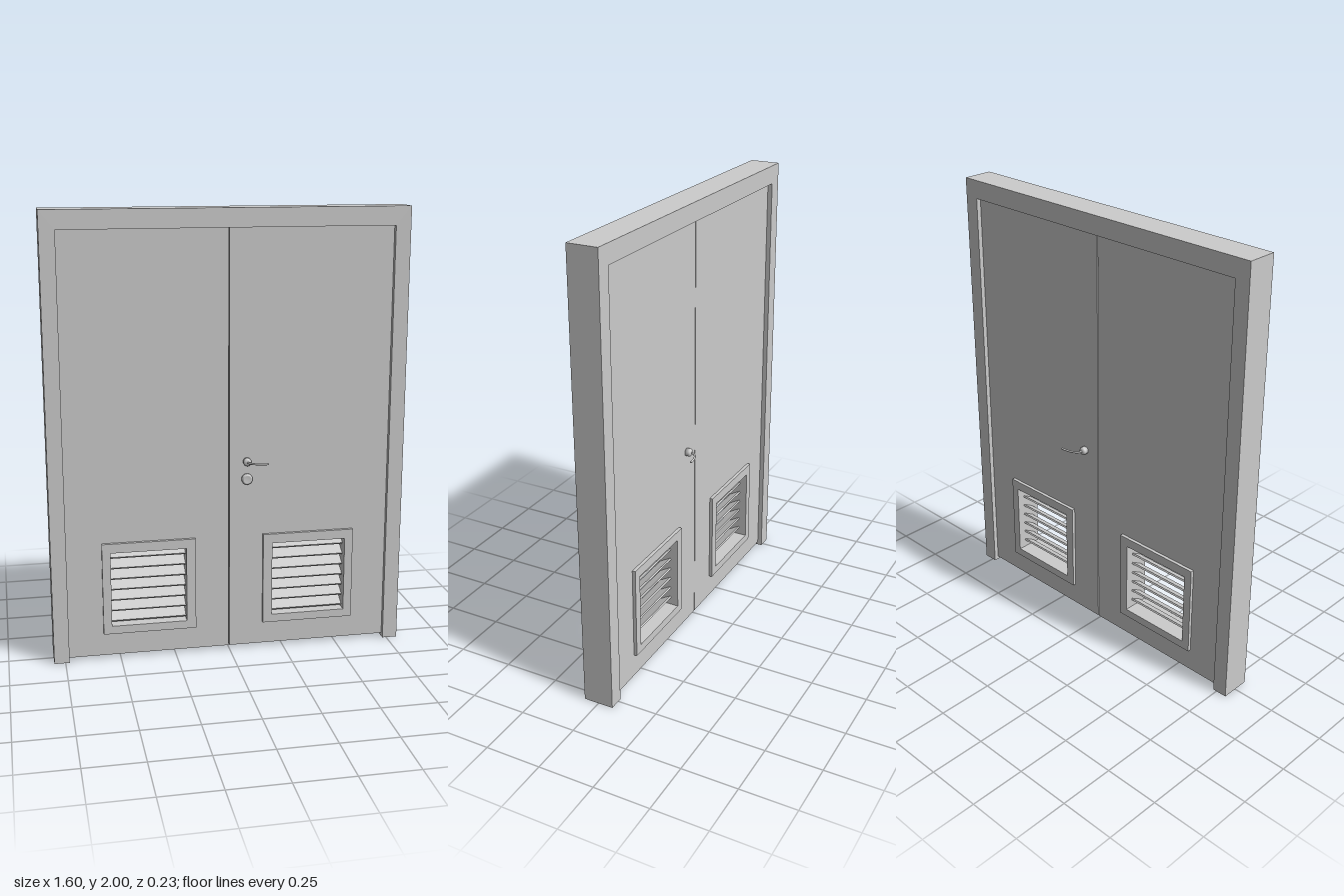
import * as THREE from 'three';

const material = new THREE.MeshStandardMaterial({ color: 0xcccccc });

function add(parent, name, geometry, x = 0, y = 0, z = 0) {
  const mesh = new THREE.Mesh(geometry, material);
  mesh.name = name;
  mesh.position.set(x, y, z);
  parent.add(mesh);
  return mesh;
}

function outline(Type, x0, y0, x1, y1) {
  return new Type([[x0, y0], [x1, y0], [x1, y1], [x0, y1]].map(p => new THREE.Vector2(...p)));
}

// Plate with a rectangular opening, centred on z = 0
function plate(outer, hole, depth) {
  const shape = outline(THREE.Shape, ...outer);
  shape.holes.push(outline(THREE.Path, ...hole));
  return new THREE.ExtrudeGeometry(shape, { depth, bevelEnabled: false }).translate(0, 0, -depth / 2);
}

// One door leaf with its ventilation grille; side is +1 or -1
function doorLeaf(side) {
  const leaf = new THREE.Group();
  leaf.name = side > 0 ? 'leftDoor' : 'rightDoor';
  const span = (a, b) => [Math.min(side * a, side * b), Math.max(side * a, side * b)];
  const rect = (a, y0, b, y1) => { const [l, r] = span(a, b); return [l, y0, r, y1]; };
  const opening = rect(0.197, 0.157, 0.537, 0.502);
  add(leaf, 'doorPanel', plate(rect(0.002, 0.015, 0.732, 1.917), opening, 0.094));
  add(leaf, 'ventFrame', plate(rect(0.155, 0.12, 0.575, 0.545), opening, 0.124));
  // Slats slope down towards the front
  for (let i = 0; i < 7; i++) {
    const slat = add(leaf, 'ventSlat', new THREE.BoxGeometry(0.34, 0.008, 0.06),
      side * 0.367, 0.182 + i * 0.05, 0);
    slat.rotation.x = Math.PI / 6;
  }
  return leaf;
}

// Rose and curved lever, facing +z
function leverHandle(name) {
  const handle = new THREE.Group();
  handle.name = name;
  const profile = [[0, 0], [0.018, 0], [0.018, 0.017], [0.015, 0.022], [0.009, 0.025], [0, 0.026]];
  add(handle, 'handleRose',
    new THREE.LatheGeometry(profile.map(p => new THREE.Vector2(...p)), 24).rotateX(Math.PI / 2));
  const curve = new THREE.CubicBezierCurve3(
    new THREE.Vector3(0, 0, 0.018), new THREE.Vector3(0, 0, 0.046),
    new THREE.Vector3(0.03, 0, 0.064), new THREE.Vector3(0.083, 0, 0.064));
  add(handle, 'lever', new THREE.TubeGeometry(curve, 20, 0.0045, 10));
  add(handle, 'leverTip', new THREE.SphereGeometry(0.0045, 10, 8), 0.083, 0, 0.064);
  return handle;
}

export function createModel() {
  const model = new THREE.Group();
  model.name = 'doubleDoor';

  // Door frame, open at the floor
  const frameShape = new THREE.Shape([
    [-0.8, 0], [-0.732, 0], [-0.732, 1.917], [0.732, 1.917],
    [0.732, 0], [0.8, 0], [0.8, 2], [-0.8, 2],
  ].map(p => new THREE.Vector2(...p)));
  add(model, 'doorFrame',
    new THREE.ExtrudeGeometry(frameShape, { depth: 0.136, bevelEnabled: false }).translate(0, 0, -0.068));

  // Door leaves
  for (const side of [-1, 1]) model.add(doorLeaf(side));

  // Lever handles on both faces
  const front = leverHandle('frontHandle');
  front.position.set(0.08, 0.888, 0.047);
  const back = leverHandle('backHandle');
  back.position.set(0.08, 0.888, -0.047);
  back.rotation.x = Math.PI;
  model.add(front, back);

  // Lock cylinder on the front
  const lock = [[0, 0], [0.025, 0], [0.025, 0.011], [0.021, 0.018], [0.017, 0.02], [0.016, 0.018], [0, 0.018]];
  add(model, 'lockCylinder',
    new THREE.LatheGeometry(lock.map(p => new THREE.Vector2(...p)), 28).rotateX(Math.PI / 2),
    0.08, 0.808, 0.047);

  // Latch between the leaves
  add(model, 'latch', new THREE.BoxGeometry(0.012, 0.025, 0.03), 0, 0.85, -0.02);
  return model;
}
